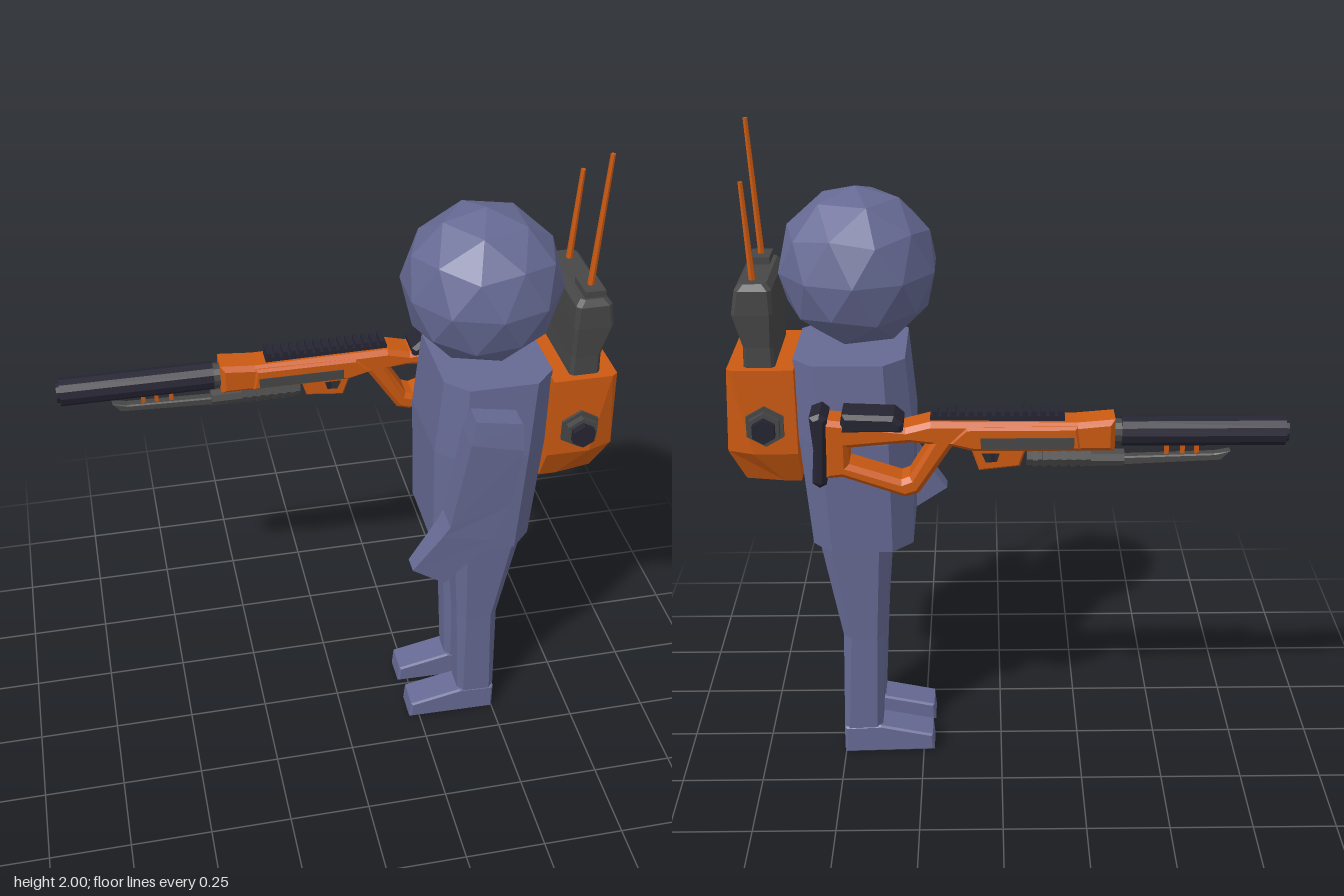
import * as THREE from 'three';

const mat = (color) => new THREE.MeshStandardMaterial({ color, flatShading: true });
const BODY = mat(0x666a94), ORANGE = mat(0xcc5a12), GREY = mat(0x474747), DARK = mat(0x252432);

function add(parent, name, geometry, material, x = 0, y = 0, z = 0) {
  const mesh = new THREE.Mesh(geometry, material);
  mesh.name = name;
  mesh.position.set(x, y, z);
  parent.add(mesh);
  return mesh;
}

// Skin a list of equal-length 3D rings and close both ends
function loft(rings) {
  const n = rings[0].length, pos = rings.flat(2), idx = [];
  for (let r = 0; r < rings.length - 1; r++) {
    for (let i = 0; i < n; i++) {
      const a = r * n + i, b = r * n + (i + 1) % n;
      idx.push(a, b, b + n, a, b + n, a + n);
    }
  }
  const last = (rings.length - 1) * n;
  for (let i = 1; i < n - 1; i++) idx.push(0, i + 1, i, last, last + i, last + i + 1);
  // Turn faces outward if the enclosed volume is negative
  const p = (i) => new THREE.Vector3().fromArray(pos, i * 3);
  let volume = 0;
  for (let i = 0; i < idx.length; i += 3) volume += p(idx[i]).dot(p(idx[i + 1]).cross(p(idx[i + 2])));
  if (volume < 0) idx.reverse();
  const g = new THREE.BufferGeometry();
  g.setAttribute('position', new THREE.Float32BufferAttribute(pos, 3));
  g.setIndex(idx);
  const flat = g.toNonIndexed();
  flat.computeVertexNormals();
  return flat;
}

// Horizontal rectangle ring with cut corners
const ring = (y, x0, x1, z0, z1, c) => [
  [x0 + c, y, z0], [x1 - c, y, z0], [x1, y, z0 + c], [x1, y, z1 - c],
  [x1 - c, y, z1], [x0 + c, y, z1], [x0, y, z1 - c], [x0, y, z0 + c]];

// Side outline in x and y, bevelled and centred on z = 0
function plate(points, width, bevel = 0.012, hole) {
  const toShape = (P, list) => new P(list.map(([x, y]) => new THREE.Vector2(x, y)));
  const shape = toShape(THREE.Shape, points);
  if (hole) shape.holes.push(toShape(THREE.Path, hole));
  const g = new THREE.ExtrudeGeometry(shape, {
    depth: width - 2 * bevel, bevelEnabled: bevel > 0, bevelThickness: bevel,
    bevelSize: bevel, bevelOffset: -bevel, bevelSegments: 1 });
  return g.translate(0, 0, bevel - width / 2);
}

function createFigure() {
  const fig = new THREE.Group();
  fig.name = 'figure';

  const head = new THREE.IcosahedronGeometry(0.232, 1).rotateZ(Math.atan(2 / (1 + Math.sqrt(5))));
  add(fig, 'head', head, BODY, 0.408, 1.597, 0.024);

  add(fig, 'torso', loft([
    ring(0.765, 0.265, 0.565, -0.16, 0.22, 0.06),
    ring(1.12, 0.255, 0.59, -0.18, 0.23, 0.07),
    ring(1.36, 0.275, 0.595, -0.165, 0.215, 0.06)]), BODY);

  // Legs taper to the ankle, with toes pointing to -x
  for (const side of [-1, 1]) {
    const leg = new THREE.Group();
    leg.name = side > 0 ? 'legA' : 'legB';
    const c = 0.027 + side * 0.085;
    add(leg, 'shin', loft([
      ring(0.01, 0.385, 0.505, c - 0.045, c + 0.045, 0.015),
      ring(0.44, 0.36, 0.49, c - 0.062, c + 0.062, 0.025),
      ring(0.8, 0.33, 0.55, c - 0.085, c + 0.085, 0.035)]), BODY);
    add(leg, 'foot', plate([[0.215, 0.012], [0.5, 0.005], [0.5, 0.1], [0.385, 0.105], [0.22, 0.07]], 0.1, 0.006), BODY, 0, 0, c);
    fig.add(leg);
  }

  // Arm: [front x, y, rear x, y, inner z, outer z] from shoulder to hand
  const arm = [
    [0.335, 1.31, 0.47, 1.285, 0.225, 0.295],
    [0.32, 1.24, 0.475, 1.2, 0.21, 0.308],
    [0.275, 0.945, 0.455, 1.0, 0.215, 0.3],
    [0.255, 0.91, 0.41, 0.87, 0.22, 0.298],
    [0.17, 0.785, 0.27, 0.718, 0.235, 0.288]];
  add(fig, 'arm', loft(arm.map(([fx, fy, rx, ry, a, b]) =>
    [[fx, fy, a], [rx, ry, a], [rx, ry, b], [fx, fy, b]])), BODY);
  return fig;
}

function createBackpack() {
  const pack = new THREE.Group();
  pack.name = 'backpack';
  pack.position.z = 0.024;

  // Pack: the sides break into slanted rear corners
  const section = (y, xs, xb, zs, zb) => [
    [0.59, y, -zs], [xs, y, -zs], [xb, y, -zb], [xb, y, zb], [xs, y, zs], [0.59, y, zs]];
  add(pack, 'bag', loft([
    section(0.973, 0.64, 0.755, 0.12, 0.1),
    section(1.08, 0.72, 0.797, 0.168, 0.14),
    section(1.34, 0.765, 0.782, 0.168, 0.155)]), ORANGE);

  // Side knobs
  for (const s of [-1, 1]) {
    [[0.062, 0.165, 0.025], [0.05, 0.185, 0.025], [0.037, 0.203, 0.03]].forEach(([r, z, h], i) => {
      const g = new THREE.CylinderGeometry(r, r, h, 6).rotateX(Math.PI / 2);
      add(pack, 'knob' + (i + 1), g, i === 2 ? DARK : GREY, 0.68, 1.17, s * z);
    });
  }

  // Radio with antennas
  add(pack, 'radio', loft([
    ring(1.335, 0.645, 0.735, -0.145, 0.145, 0.01),
    ring(1.4, 0.645, 0.732, -0.145, 0.145, 0.01),
    ring(1.5, 0.64, 0.757, -0.155, 0.155, 0.01),
    ring(1.57, 0.64, 0.745, -0.155, 0.155, 0.012),
    ring(1.587, 0.655, 0.73, -0.14, 0.14, 0.012)]), GREY);
  add(pack, 'radioCap', new THREE.BoxGeometry(0.06, 0.03, 0.09), GREY, 0.697, 1.592, 0.088);
  for (const [z, top] of [[0.091, 2], [-0.097, 1.865]]) {
    const h = top - 1.58;
    const antenna = add(pack, 'antenna', new THREE.CylinderGeometry(0.007, 0.01, h, 6), ORANGE, 0.705, 1.58 + h / 2, z);
    antenna.rotation.z = -0.05;
  }
  return pack;
}

function createRifle() {
  const gun = new THREE.Group();
  gun.name = 'rifle';
  gun.position.z = -0.252;
  const tube = (name, x0, x1, r, y, m, sides = 12) =>
    add(gun, name, new THREE.CylinderGeometry(r, r, x1 - x0, sides).rotateZ(Math.PI / 2), m, (x0 + x1) / 2, y, 0);
  const box = (name, x0, x1, y0, y1, w, m) =>
    add(gun, name, new THREE.BoxGeometry(x1 - x0, y1 - y0, w), m, (x0 + x1) / 2, (y0 + y1) / 2, 0);

  // Barrel
  tube('muzzle', -0.805, -0.79, 0.032, 1.197, DARK);
  tube('barrel', -0.795, -0.335, 0.043, 1.197, DARK);
  tube('barrelCollar', -0.34, -0.3, 0.036, 1.197, GREY);

  // Receiver running into a stock with an open grip
  const outline = [[-0.315, 1.152], [-0.315, 1.247], [-0.21, 1.238], [0.2, 1.243], [0.27, 1.225], [0.5, 1.25],
    [0.5, 1.07], [0.45, 1.075], [0.275, 1.012], [0.235, 1.025], [0.14, 1.168], [0.08, 1.152]];
  const hole = [[0.2, 1.175], [0.262, 1.075], [0.285, 1.066], [0.43, 1.115], [0.43, 1.165], [0.26, 1.18]];
  add(gun, 'receiver', plate(outline, 0.1, 0.014, hole), ORANGE);
  add(gun, 'receiverSwell', plate([[-0.22, 1.16], [-0.21, 1.23], [0.1, 1.23], [0.15, 1.18], [0.08, 1.16]], 0.112, 0.008), ORANGE);
  box('sidePanel', -0.2, 0.06, 1.168, 1.2, 0.116, GREY);
  add(gun, 'cheekRest', plate([[0.275, 1.21], [0.275, 1.24], [0.3, 1.262], [0.445, 1.268], [0.455, 1.21]], 0.106), DARK);
  add(gun, 'buttPlate', plate([[0.495, 1.055], [0.485, 1.255], [0.505, 1.272], [0.535, 1.26], [0.527, 1.16], [0.535, 1.06], [0.515, 1.045]], 0.112), DARK);

  // Ridged top rail
  box('rail', -0.175, 0.2, 1.235, 1.254, 0.055, DARK);
  for (let i = 0; i < 15; i++) box('railRidge', -0.172 + i * 0.025, -0.157 + i * 0.025, 1.25, 1.268, 0.055, DARK);

  // Magazine well, trigger and pump grip
  add(gun, 'triggerGuard', plate([[-0.07, 1.16], [0.09, 1.16], [0.065, 1.085], [-0.05, 1.098]], 0.05, 0.006,
    [[0.0, 1.145], [0.065, 1.145], [0.05, 1.105], [0.01, 1.108]]), ORANGE);
  box('trigger', 0.02, 0.032, 1.1, 1.15, 0.012, DARK);
  tube('pump', -0.25, -0.07, 0.03, 1.122, GREY, 8);
  for (let i = 0; i < 6; i++) tube('pumpRib', -0.235 + i * 0.027, -0.222 + i * 0.027, 0.034, 1.122, GREY, 8);
  tube('pumpNose', -0.345, -0.24, 0.026, 1.115, GREY, 8);

  // Slim under-barrel blade on short pins
  add(gun, 'blade', plate([[-0.645, 1.138], [-0.62, 1.108], [-0.33, 1.095], [-0.33, 1.122], [-0.6, 1.13]], 0.03, 0.004), GREY);
  for (const x of [-0.55, -0.51, -0.465]) box('bladePin', x - 0.006, x + 0.006, 1.12, 1.165, 0.014, ORANGE);
  return gun;
}

export function createModel() {
  const model = new THREE.Group();
  model.name = 'soldier';
  model.add(createFigure(), createBackpack(), createRifle());
  return model;
}
